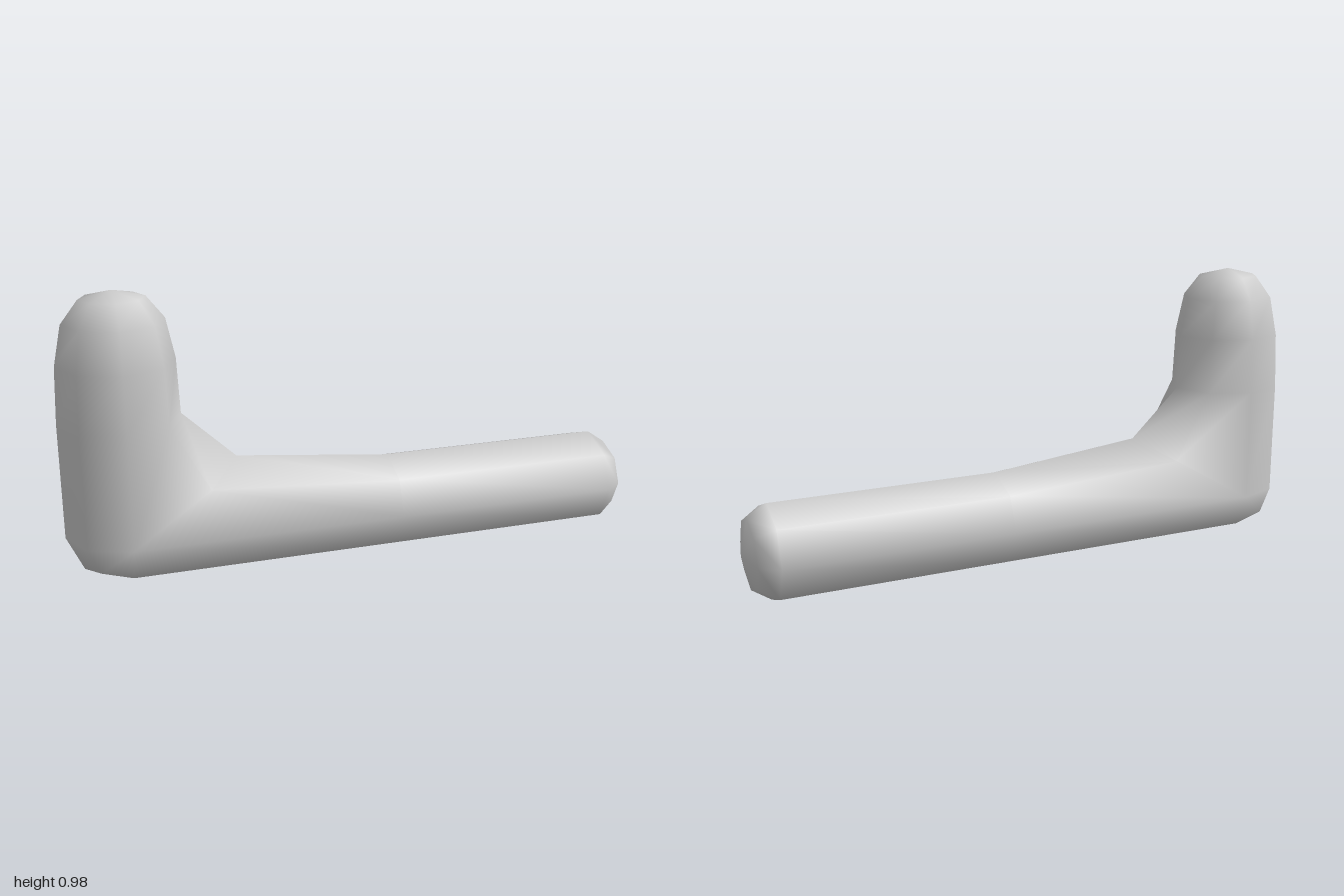
import * as THREE from 'three';
import { mergeVertices } from 'three/addons/utils/BufferGeometryUtils.js';

const SIDES = 8, HALF_DEPTH = 0.18;

// Each ring: outer point, middle point and inner point in the xy plane, plus half depth in z.
const columnRing = (y, s) => [[-0.8 - 0.2 * s, y], [-0.8, y], [-0.8 + 0.2 * s, y], HALF_DEPTH * s];
const armRing = (x, s) => [[x, 0.167 - 0.165 * s], [x, 0.167], [x, 0.167 + 0.165 * s], HALF_DEPTH * s];
const elbowRing = (x, y) => [[x, y], [-0.8, 0.167], [-0.42, 0.39], HALF_DEPTH];

// Two half ellipses meeting at the sides of the ring
function ringPoint([outer, mid, inner, depth], k) {
  const a = (k % SIDES) / SIDES * Math.PI * 2;
  const c = Math.cos(a), end = c > 0 ? outer : inner;
  return new THREE.Vector3(
    mid[0] + Math.abs(c) * (end[0] - mid[0]),
    mid[1] + Math.abs(c) * (end[1] - mid[1]),
    Math.sin(a) * depth);
}

// Smooth skin through the rings, leaving out collapsed triangles
function loft(rings) {
  const positions = [];
  const tri = (a, b, c) => {
    const area = b.clone().sub(a).cross(c.clone().sub(a)).length();
    if (area > 1e-6) for (const p of [a, b, c]) positions.push(p.x, p.y, p.z);
  };
  for (let i = 0; i < rings.length - 1; i++) {
    for (let k = 0; k < SIDES; k++) {
      const a = ringPoint(rings[i], k), b = ringPoint(rings[i], k + 1);
      const c = ringPoint(rings[i + 1], k), d = ringPoint(rings[i + 1], k + 1);
      tri(a, c, b);
      tri(b, c, d);
    }
  }
  let geometry = new THREE.BufferGeometry();
  geometry.setAttribute('position', new THREE.Float32BufferAttribute(positions, 3));
  geometry = mergeVertices(geometry, 1e-4);
  geometry.computeVertexNormals();
  return geometry;
}

export function createModel() {
  const group = new THREE.Group();
  group.name = 'bentTube';
  const rings = [
    // rounded top and upright column
    columnRing(0.985, 0), columnRing(0.96, 0.53), columnRing(0.885, 0.82),
    columnRing(0.75, 0.96), columnRing(0.56, 1),
    // elbow, fanned around its side points
    elbowRing(-1, 0.167), elbowRing(-0.945, 0.047), elbowRing(-0.8, 0.002),
    // long arm and its blunt rounded end
    armRing(0.12, 1), armRing(0.91, 1), armRing(0.975, 0.73), armRing(1, 0),
  ];
  const tube = new THREE.Mesh(loft(rings), new THREE.MeshStandardMaterial({ color: 0xcccccc }));
  tube.name = 'elbowTube';
  group.add(tube);
  return group;
}
